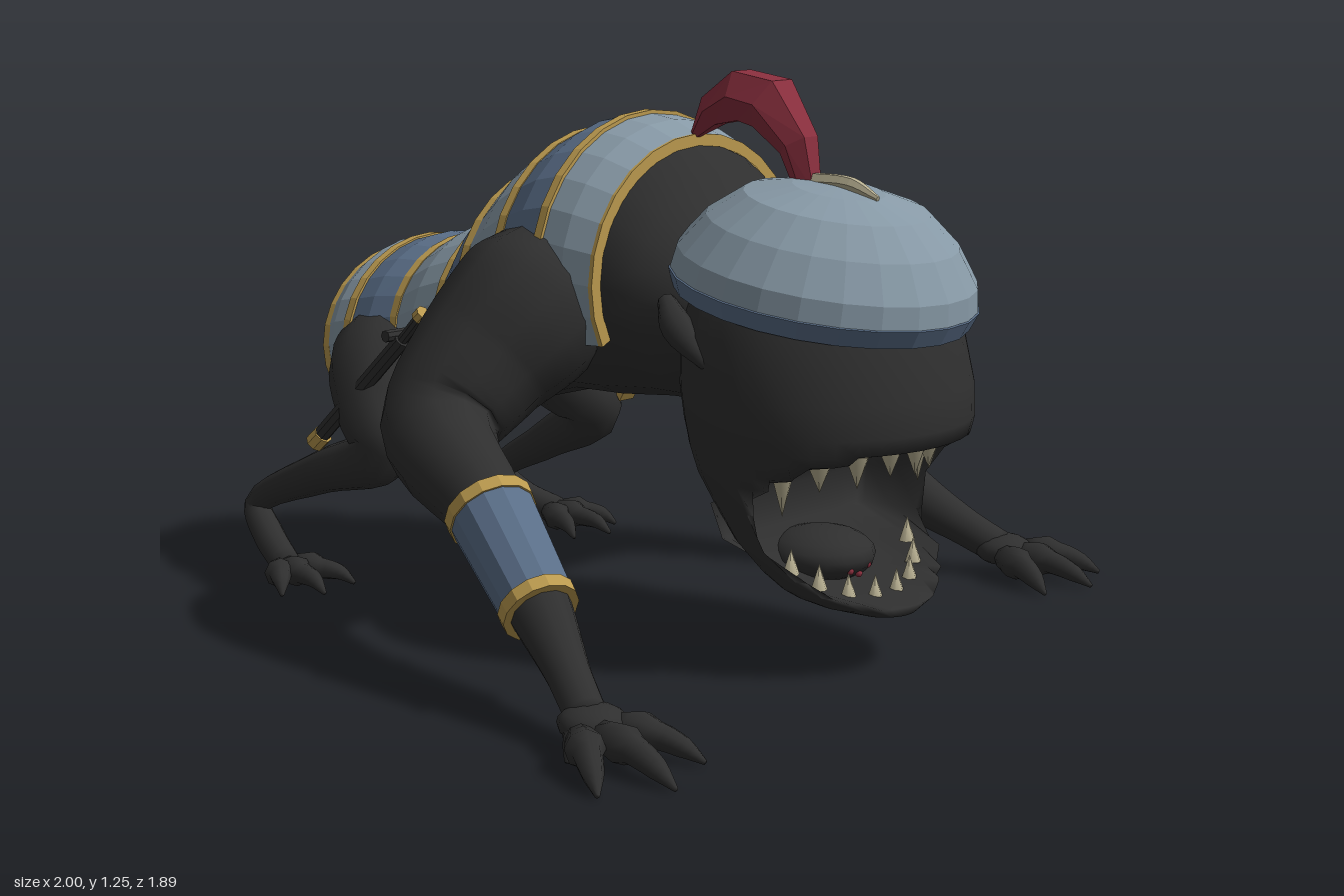
import * as THREE from 'three';

const V = (x, y, z) => new THREE.Vector3(x, y, z);
const CX = 0.03; // the body sits slightly off the centre line

// Skin a list of rings (arrays of Vector3) into one surface
function loft(rings, { closed = true, caps = true, flat = false } = {}) {
  const n = rings[0].length, pos = [], idx = [];
  rings.forEach(r => r.forEach(p => pos.push(p.x, p.y, p.z)));
  for (let i = 0; i < rings.length - 1; i++) {
    for (let j = 0; j < (closed ? n : n - 1); j++) {
      const a = i * n + j, b = i * n + (j + 1) % n;
      idx.push(a, b, a + n, b, b + n, a + n);
    }
  }
  if (closed && caps) {
    [0, rings.length - 1].forEach(i => {
      const c = V(0, 0, 0);
      rings[i].forEach(p => c.addScaledVector(p, 1 / n));
      const k = pos.length / 3;
      pos.push(c.x, c.y, c.z);
      for (let j = 0; j < n; j++) {
        const a = i * n + j, b = i * n + (j + 1) % n;
        if (i === 0) idx.push(k, b, a); else idx.push(k, a, b);
      }
    });
  }
  let g = new THREE.BufferGeometry();
  g.setAttribute('position', new THREE.Float32BufferAttribute(pos, 3));
  g.setIndex(idx);
  if (flat) g = g.toNonIndexed();
  g.computeVertexNormals();
  return g;
}

// Round tapering tube through [x, y, z, radius] points
function limb(pts, { steps = 5, sides = 12, flat = false } = {}) {
  const path = new THREE.CatmullRomCurve3(pts.map(p => V(p[0], p[1], p[2])));
  const rad = new THREE.CatmullRomCurve3(pts.map(p => V(p[3], 0, 0)));
  const N = steps * (pts.length - 1), rings = [];
  let nrm = V(1, 0, 0.01);
  for (let i = 0; i <= N; i++) {
    const u = i / N, c = path.getPoint(u), t = path.getTangent(u), r = Math.max(rad.getPoint(u).x, 0.002);
    nrm = nrm.clone().addScaledVector(t, -t.dot(nrm)).normalize();
    const b = t.clone().cross(nrm), ring = [];
    for (let j = 0; j < sides; j++) {
      const a = j / sides * Math.PI * 2;
      ring.push(c.clone().addScaledVector(nrm, r * Math.cos(a)).addScaledVector(b, r * Math.sin(a)));
    }
    rings.push(ring);
  }
  return loft(rings, { flat });
}

// Elliptical cross-section of the trunk: [z, top, halfWidth, halfHeight]
function section([z, top, rx, ry], n, a0, a1, grow = 0, full = false) {
  return Array.from({ length: n }, (_, j) => {
    const a = a0 + (a1 - a0) * j / (full ? n : n - 1);
    return V(CX + (rx + grow) * Math.cos(a), top - ry + (ry + grow) * Math.sin(a), z);
  });
}

export function createModel() {
  const model = new THREE.Group();
  model.name = 'armouredBeast';
  const mat = (name, color, side = THREE.FrontSide) => {
    const m = new THREE.MeshStandardMaterial({ color, side });
    m.name = name;
    return m;
  };
  const skin = mat('charcoal skin', 0x2f2f2f);
  const steel = mat('pale steel', 0x8799a6, THREE.DoubleSide);
  const blue = mat('blue steel', 0x5a6e88, THREE.DoubleSide);
  const gold = mat('gold trim', 0xbb9a4f, THREE.DoubleSide);
  const red = mat('red plume', 0x8a2f3e);
  const ivory = mat('ivory', 0xbab294);
  const add = (name, geo, material, parent = model) => {
    const m = new THREE.Mesh(geo, material);
    m.name = name;
    parent.add(m);
    return m;
  };

  // Trunk, listed from rump to neck
  const armour = [
    [-0.77, 0.775, 0.272, 0.22], [-0.68, 0.805, 0.28, 0.23], [-0.55, 0.815, 0.25, 0.22], [-0.39, 0.875, 0.255, 0.23],
    [-0.26, 1.00, 0.305, 0.28], [-0.11, 1.10, 0.338, 0.31], [0.04, 1.145, 0.36, 0.33], [0.19, 1.10, 0.335, 0.3]];
  const trunk = [[-0.91, 0.62, 0.07, 0.09], [-0.88, 0.67, 0.14, 0.14], [-0.83, 0.72, 0.2, 0.175],
    ...armour.map(([z, t, rx, ry]) => [z, t - 0.02, rx - 0.02, ry - 0.02]),
    [0.26, 1.02, 0.28, 0.25], [0.34, 0.92, 0.24, 0.18], [0.45, 0.85, 0.2, 0.15]];
  add('trunk', loft(trunk.map(s => section(s, 24, 0, Math.PI * 2, 0, true))), skin);

  // Armour bands, slightly barrelled, with gold edges, open under the belly
  const arc = (s, grow) => section(s, 19, -0.45, Math.PI + 0.45, grow);
  for (let i = 0; i < armour.length - 1; i++) {
    const middle = armour[i].map((v, k) => (v + armour[i + 1][k]) / 2);
    add('armourBand', loft([arc(armour[i], 0), arc(middle, 0.012), arc(armour[i + 1], 0.004)],
      { closed: false, flat: true }), i % 2 ? blue : steel);
  }
  armour.forEach((s, i) => {
    const at = d => [s[0] + d, s[1], s[2], s[3]];
    const d = i === 0 ? 0.02 : i === armour.length - 1 ? 0 : 0.011;
    add('armourTrim', loft([arc(at(d - 0.022), -0.02), arc(at(d - 0.022), 0.007), arc(at(d), 0.007), arc(at(d), -0.02)],
      { closed: false, flat: true }), gold);
  });

  // Head: rows of [y, halfWidth, back z, front z, mouth edge z], the mouth hollowed behind its edge
  const headRows = [[0.125, 0.07, 0.67, 0.79, 9], [0.15, 0.15, 0.59, 0.81, 9], [0.17, 0.19, 0.54, 0.81, 0.77],
    [0.185, 0.21, 0.51, 0.82, 0.74], [0.22, 0.24, 0.47, 0.82, 0.7], [0.28, 0.272, 0.405, 0.83, 0.635],
    [0.36, 0.3, 0.35, 0.84, 0.625], [0.42, 0.318, 0.31, 0.85, 0.66], [0.445, 0.322, 0.3, 0.85, 0.72],
    [0.475, 0.328, 0.29, 0.85, 0.79], [0.495, 0.33, 0.285, 0.855, 9], [0.53, 0.335, 0.275, 0.865, 9],
    [0.6, 0.34, 0.265, 0.86, 9], [0.72, 0.328, 0.265, 0.83, 9], [0.82, 0.28, 0.28, 0.8, 9], [0.92, 0.19, 0.38, 0.7, 9]];
  add('head', loft(headRows.map(([y, hw, zb, zf, lip]) => Array.from({ length: 40 }, (_, j) => {
    const a = j / 40 * Math.PI * 2;
    let z = (zb + zf) / 2 - (zf - zb) / 2 * Math.sin(a);
    if (z > lip) z = lip - 0.16 * Math.min(1, (z - lip) / 0.08);
    return V(CX + hw * Math.cos(a), y, z);
  }))), skin);
  [-1, 1].forEach(s => add('ear', limb([[CX + s * 0.27, 0.78, 0.34, 0.02], [CX + s * 0.3, 0.73, 0.4, 0.035],
    [CX + s * 0.315, 0.66, 0.5, 0.012]], { steps: 4, sides: 8 }), skin));
  const tongue = add('tongue', new THREE.SphereGeometry(1, 16, 10), skin);
  tongue.scale.set(0.12, 0.06, 0.12);
  tongue.position.set(CX, 0.22, 0.55);
  [[-0.03, 0.2], [0, 0.19], [0.03, 0.205]].forEach(([x, y]) => {
    add('tongueSpot', new THREE.SphereGeometry(0.008, 8, 6), red).position.set(CX + x, y, 0.655);
  });

  // Teeth along both jaws, the outer upper pair longest
  for (let i = 0; i < 8; i++) {
    const a = -1.2 + 2.4 * i / 7, s = Math.sin(a), c = Math.cos(a);
    const size = i === 0 || i === 7 ? 0.1 : i % 2 ? 0.06 : 0.07;
    const up = add('upperTooth', new THREE.ConeGeometry(0.027, size, 6), ivory);
    up.rotation.x = Math.PI;
    up.position.set(CX + 0.25 * s, 0.48 - 0.06 * (1 - c) - size * 0.4, 0.555 + 0.215 * c);
    const low = add('lowerTooth', new THREE.ConeGeometry(0.019, 0.055, 6), ivory);
    low.position.set(CX + 0.215 * s, 0.18 + 0.11 * (1 - c), 0.575 + 0.155 * c);
  }

  // Helmet, tipped forward
  const helmet = new THREE.Group();
  helmet.name = 'helmet';
  helmet.position.set(CX, 0.8, 0.548);
  helmet.rotation.x = 0.175;
  model.add(helmet);
  const turn = pts => {
    const g = new THREE.LatheGeometry(pts.map(p => new THREE.Vector2(...p)), 24).toNonIndexed();
    g.computeVertexNormals();
    return g;
  };
  add('helmetBrim', turn([[0.28, -0.035], [0.32, -0.035], [0.335, 0.005], [0.31, 0.012]]), blue, helmet);
  add('helmetDome', turn([[0.332, 0.007], [0.324, 0.055], [0.272, 0.13], [0.2, 0.19], [0.1, 0.218], [0, 0.225]]), steel, helmet);
  add('plumeHolder', limb([[CX, 1.0, 0.69, 0.006], [CX, 1.025, 0.62, 0.016], [CX, 1.025, 0.5, 0.02]], { sides: 6, flat: true }), ivory);
  add('plume', limb([[CX, 1.0, 0.505, 0.028], [CX, 1.1, 0.475, 0.045], [CX, 1.185, 0.4, 0.066],
    [CX, 1.198, 0.32, 0.062], [CX, 1.16, 0.235, 0.04], [CX, 1.09, 0.165, 0.004]],
  { steps: 1, sides: 6, flat: true }), red);

  // Digits run from a palm or sole down to a pointed claw
  const digit = (name, [x, y, z], [tx, tz], r) => add(name, limb([
    [x, y, z, r], [x + (tx - x) * 0.45, y * 0.9, z + (tz - z) * 0.45, r],
    [x + (tx - x) * 0.75, 0.03, z + (tz - z) * 0.75, r * 0.75], [tx, 0.006, tz, 0.005]], { steps: 3, sides: 8 }), skin);

  // Arms with bracers and hands
  const arms = [
    { name: 'left', path: [[0.26, 0.8, -0.02, 0.15], [0.35, 0.73, -0.02, 0.185], [0.47, 0.61, -0.075, 0.16], [0.58, 0.47, -0.095, 0.13],
      [0.67, 0.355, 0.085, 0.083], [0.735, 0.205, 0.235, 0.066], [0.81, 0.105, 0.38, 0.045], [0.85, 0.06, 0.45, 0.042]],
    tips: [[0.735, 0.66], [0.87, 0.7], [0.995, 0.64], [0.93, 0.47]] },
    { name: 'right', path: [[-0.2, 0.8, -0.02, 0.15], [-0.29, 0.73, -0.02, 0.185], [-0.41, 0.62, -0.055, 0.16], [-0.53, 0.495, -0.055, 0.13],
      [-0.64, 0.365, 0.22, 0.083], [-0.71, 0.215, 0.43, 0.066], [-0.77, 0.12, 0.57, 0.045], [-0.81, 0.06, 0.66, 0.042]],
    tips: [[-0.72, 0.88], [-0.87, 0.94], [-0.995, 0.86], [-0.9, 0.69]] }];
  arms.forEach(({ name, path, tips }) => {
    add(name + 'Arm', limb(path), skin);
    const P = V(...path[4]), Q = V(...path[5]);
    const tube = (u, v, grow) => limb([u, v].map(k => {
      const p = P.clone().lerp(Q, k);
      return [p.x, p.y, p.z, 0.092 - 0.014 * k + grow];
    }), { steps: 1, sides: 14, flat: true });
    add(name + 'Bracer', tube(-0.06, 1, 0), blue);
    add(name + 'BracerTop', tube(-0.08, 0.03, 0.004), gold);
    add(name + 'BracerCuff', tube(0.91, 1.02, 0.004), gold);
    const [hx, hy, hz] = path[7];
    const palm = add(name + 'Palm', new THREE.SphereGeometry(1, 14, 10), skin);
    palm.scale.set(0.07, 0.038, 0.07);
    palm.position.set(hx, hy, hz + 0.01);
    tips.forEach((t, i) => digit(name + 'Finger', [hx + (t[0] - hx) * 0.35, 0.052, hz + (t[1] - hz) * 0.2], t, i < 3 ? 0.029 : 0.02));
  });

  // Folded hind legs and feet
  const legs = [
    { name: 'left', path: [[0.2, 0.55, -0.64, 0.12], [0.27, 0.52, -0.605, 0.125], [0.345, 0.43, -0.53, 0.1], [0.38, 0.35, -0.475, 0.075],
      [0.4, 0.25, -0.64, 0.052], [0.41, 0.13, -0.835, 0.034], [0.425, 0.075, -0.78, 0.038], [0.455, 0.04, -0.68, 0.036]],
    tips: [[0.37, -0.53], [0.47, -0.5], [0.555, -0.56]] },
    { name: 'right', path: [[-0.14, 0.55, -0.64, 0.12], [-0.21, 0.52, -0.605, 0.125], [-0.285, 0.43, -0.53, 0.1], [-0.32, 0.35, -0.475, 0.075],
      [-0.335, 0.27, -0.68, 0.052], [-0.345, 0.155, -0.915, 0.034], [-0.365, 0.09, -0.85, 0.038], [-0.4, 0.04, -0.74, 0.036]],
    tips: [[-0.31, -0.6], [-0.42, -0.58], [-0.5, -0.64]] }];
  legs.forEach(({ name, path, tips }) => {
    add(name + 'Leg', limb(path), skin);
    const [fx, fy, fz] = path[7];
    tips.forEach(t => digit(name + 'Toe', [fx + (t[0] - fx) * 0.25, fy, fz], t, 0.026));
  });

  // Shield hung on the left hip
  const outline = [[0.31, 0.77], [0.49, 0.71], [0.475, 0.49], [0.4, 0.375], [0.285, 0.55]];
  const plate = (k, depth) => new THREE.ExtrudeGeometry(
    new THREE.Shape(outline.map(([u, y]) => new THREE.Vector2(0.39 + (u - 0.39) * k, 0.59 + (y - 0.59) * k))),
    { depth, bevelEnabled: false });
  const shield = new THREE.Group();
  shield.name = 'shield';
  shield.rotation.y = Math.PI / 2;
  shield.position.x = 0.4;
  model.add(shield);
  add('shieldRim', plate(1, 0.05), gold, shield);
  add('shieldFace', plate(0.86, 0.008), blue, shield).position.z = 0.044;
  [[0.395, 0.63, 0.14, 0.022, -0.4], [0.395, 0.48, 0.018, 0.065, 0.3]].forEach(([u, y, w, h, r]) => {
    const e = add('shieldMark', new THREE.BoxGeometry(w, h, 0.008), ivory, shield);
    e.position.set(u, y, 0.051);
    e.rotation.z = r;
  });
  [[0.62, -0.34], [0.6, -0.46]].forEach(([y, z]) => {
    add('shieldStrap', limb([[0.2, y, z, 0.012], [0.41, y, z, 0.012]], { steps: 1, sides: 6 }), skin);
  });

  // Sheathed blade on the right hip
  const rod = (name, a, b, r, m) => add(name, limb([[...a, r], [...b, r]], { steps: 1, sides: 8, flat: true }), m);
  rod('scabbard', [-0.325, 0.62, -0.4], [-0.36, 0.36, -0.66], 0.02, skin);
  rod('bladeGrip', [-0.318, 0.68, -0.345], [-0.325, 0.62, -0.4], 0.013, skin);
  rod('pommel', [-0.318, 0.69, -0.335], [-0.319, 0.675, -0.352], 0.018, gold);
  rod('bladeGuard', [-0.36, 0.63, -0.42], [-0.26, 0.63, -0.42], 0.014, skin);
  rod('scabbardTip', [-0.358, 0.37, -0.648], [-0.362, 0.345, -0.675], 0.024, gold);
  return model;
}
